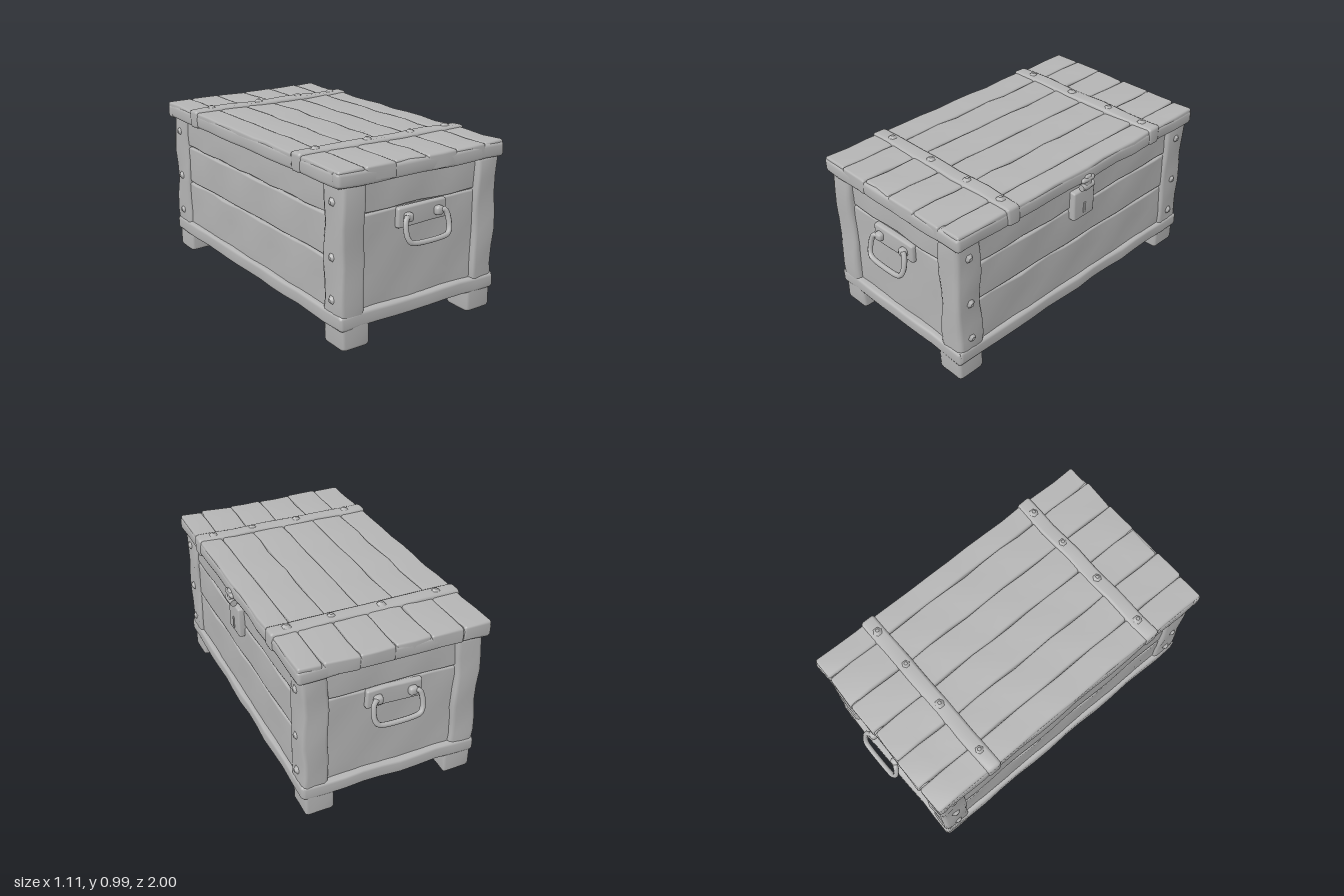
import * as THREE from 'three';
import { mergeVertices } from 'three/addons/utils/BufferGeometryUtils.js';

const grey = new THREE.MeshStandardMaterial({ color: 0xb4b4b4 });
grey.name = 'plain grey';

// Box between two corners, with rounded edges and a gentle hand-hewn waviness
let seed = 0;
function hewn(name, [x0, y0, z0], [x1, y1, z1], r = 0.015, wobble = 0.005) {
  seed += 1.7;
  const size = [x1 - x0, y1 - y0, z1 - z0];
  const centre = [(x0 + x1) / 2, (y0 + y1) / 2, (z0 + z1) / 2];
  r = Math.min(r, Math.min(...size) * 0.45);
  const n = size.map(s => 2 + Math.max(1, Math.min(14, Math.round(s / 0.11))));
  let g = new THREE.BoxGeometry(...size, ...n);
  const p = g.attributes.position;
  for (let i = 0; i < p.count; i++) {
    const v = [p.getX(i), p.getY(i), p.getZ(i)];
    const inner = v.map((c, a) => {
      const h = size[a] / 2 - r;
      const k = Math.round((c / size[a] + 0.5) * n[a]);
      const t = THREE.MathUtils.clamp((k - 1) / (n[a] - 2), 0, 1);
      return -h + 2 * h * t;
    });
    const out = new THREE.Vector3(...v.map((c, a) => (Math.abs(c) > size[a] / 2 - 1e-5 ? Math.sign(c) : 0)));
    out.normalize().multiplyScalar(r);
    const q = inner.map((c, a) => c + out.getComponent(a) + centre[a]);
    const w = q.map((c, a) => wobble * Math.sin(q[(a + 1) % 3] * 17 + seed * (a + 1)) * Math.cos(q[(a + 2) % 3] * 13 + seed));
    p.setXYZ(i, q[0] + w[0], q[1] + w[1], q[2] + w[2]);
  }
  g.deleteAttribute('normal');
  g.deleteAttribute('uv');
  g = mergeVertices(g, 1e-5);
  g.computeVertexNormals();
  const mesh = new THREE.Mesh(g, grey);
  mesh.name = name;
  return mesh;
}

// Low faceted nail head or wood knot, pointing along the given direction
function stud(name, x, y, z, dir, radius, height) {
  const g = new THREE.CylinderGeometry(radius * 0.3, radius, height, 6);
  const m = new THREE.Mesh(g, grey);
  m.name = name;
  m.position.set(x, y, z);
  m.quaternion.setFromUnitVectors(new THREE.Vector3(0, 1, 0), new THREE.Vector3(...dir));
  return m;
}

// Back plate, two lugs and a hanging loop, facing +z
function makeHandle() {
  const h = new THREE.Group();
  h.name = 'endHandle';
  h.add(hewn('handlePlate', [-0.16, 0.6, 0.88], [0.16, 0.71, 0.92], 0.012, 0.003));
  const half = [[0.1, 0.655, 0.93], [0.125, 0.66, 0.945], [0.138, 0.635, 0.953], [0.14, 0.57, 0.97], [0.125, 0.54, 0.98], [0.095, 0.53, 0.983]];
  const pts = [...half.map(([x, y, z]) => [-x, y, z]), ...half.slice().reverse()].map(a => new THREE.Vector3(...a));
  const curve = new THREE.CatmullRomCurve3(pts, false, 'centripetal');
  const loop = new THREE.Mesh(new THREE.TubeGeometry(curve, 40, 0.015, 8), grey);
  loop.name = 'handleLoop';
  h.add(loop);
  for (const s of [-1, 1]) {
    h.add(hewn('handleLug', [s * 0.1 - 0.025, 0.63, 0.9], [s * 0.1 + 0.025, 0.68, 0.95], 0.015, 0.001));
  }
  return h;
}

export function createModel() {
  const chest = new THREE.Group();
  chest.name = 'woodenChest';
  const body = new THREE.Group();
  body.name = 'body';
  const lid = new THREE.Group();
  lid.name = 'lid';
  const lock = new THREE.Group();
  lock.name = 'lock';
  chest.add(body, lid, lock);
  const cx = -0.007;

  // Core and floor
  body.add(hewn('core', [-0.48, 0.125, -0.88], [0.465, 0.89, 0.88], 0.01, 0));

  for (const s of [-1, 1]) {
    const X = (a, b) => (s > 0 ? [cx + a, cx + b] : [cx - b, cx - a]);
    const Z = (a, b) => (s > 0 ? [a, b] : [-b, -a]);

    // Horizontal planks of the long sides
    const [sx0, sx1] = X(0.42, 0.495);
    [[0.16, 0.47], [0.476, 0.7], [0.706, 0.89]].forEach(([a, b]) =>
      body.add(hewn('sidePlank', [sx0, a, -0.8], [sx1, b, 0.8], 0.012, 0.005)));

    // Recessed planks of the short ends
    const [ez0, ez1] = Z(0.84, 0.895);
    [[0.16, 0.707], [0.712, 0.89]].forEach(([a, b]) =>
      body.add(hewn('endPlank', [-0.42, a, ez0], [0.41, b, ez1], 0.012, 0.005)));

    // Bottom rails
    const [rx0, rx1] = X(0.43, 0.522);
    const [rz0, rz1] = Z(0.84, 0.932);
    body.add(hewn('sideRail', [rx0, 0.12, -0.925], [rx1, 0.205, 0.925], 0.018, 0.004));
    body.add(hewn('endRail', [-0.525, 0.12, rz0], [0.512, 0.205, rz1], 0.018, 0.004));

    // Corner posts, feet and knots on the posts
    for (const t of [-1, 1]) {
      const [pz0, pz1] = t > 0 ? [0.755, 0.925] : [-0.925, -0.755];
      const [px0, px1] = X(0.365, 0.515);
      body.add(hewn('cornerPost', [px0, 0.13, pz0], [px1, 0.89, pz1], 0.025, 0.007));
      const [fx0, fx1] = X(0.335, 0.505);
      body.add(hewn('foot', [fx0, 0.002, pz0 - 0.003], [fx1, 0.2, pz1], 0.02, 0.003));
      for (const y of [0.27, 0.5, 0.79]) {
        body.add(stud('postKnot', cx + s * 0.517, y, t * 0.84, [s, 0, 0], 0.035, 0.026));
      }
    }
  }

  // Lid planks running the length of the chest
  const seams = [-0.548, -0.385, -0.197, 0.003, 0.2, 0.398, 0.532];
  for (let i = 0; i < 6; i++) {
    const jag = 0.006 * Math.sin(i * 2.3);
    lid.add(hewn('lidPlank', [seams[i] + 0.001, 0.88, -0.938 - jag], [seams[i + 1] - 0.001, 0.966, 0.932 + jag], 0.013, 0.005));
  }
  // Border around the lid's lower edge
  for (const s of [-1, 1]) {
    lid.add(hewn('lidEndBorder', [-0.552, 0.872, s * 0.905 - 0.032], [0.537, 0.955, s * 0.905 + 0.032], 0.02, 0.004));
    const x = s > 0 ? 0.505 : -0.52;
    lid.add(hewn('lidSideBorder', [x - 0.031, 0.872, -0.93], [x + 0.031, 0.955, 0.93], 0.02, 0.004));
  }
  // Cross bands with studs
  for (const z of [-0.573, 0.557]) {
    lid.add(hewn('lidBand', [-0.556, 0.872, z - 0.045], [0.545, 0.98, z + 0.045], 0.018, 0.004));
    for (const x of [-0.43, -0.1, 0.19, 0.44]) {
      lid.add(stud('bandStud', x, 0.982, z, [0, 1, 0], 0.035, 0.022));
    }
  }

  // Lock body, hasp, pin and keyhole plate on the model's left side
  lock.add(hewn('lockBody', [0.47, 0.64, -0.08], [0.525, 0.822, 0.083], 0.012, 0.002));
  lock.add(hewn('hasp', [0.5, 0.825, -0.025], [0.55, 0.92, 0.025], 0.012, 0.001));
  lock.add(hewn('haspHinge', [0.5, 0.878, -0.05], [0.553, 0.908, 0.05], 0.012, 0.001));
  const pin = new THREE.Mesh(new THREE.CylinderGeometry(0.02, 0.02, 0.09, 10), grey);
  pin.name = 'haspPin';
  pin.rotation.x = Math.PI / 2;
  pin.position.set(0.535, 0.85, 0);
  lock.add(pin);
  lock.add(hewn('keyholePlate', [0.522, 0.67, -0.01], [0.53, 0.735, 0.01], 0.003, 0));

  // Handles on both ends
  for (const turn of [0, Math.PI]) {
    const h = makeHandle();
    h.position.x = -0.01;
    h.rotation.y = turn;
    chest.add(h);
  }
  return chest;
}
